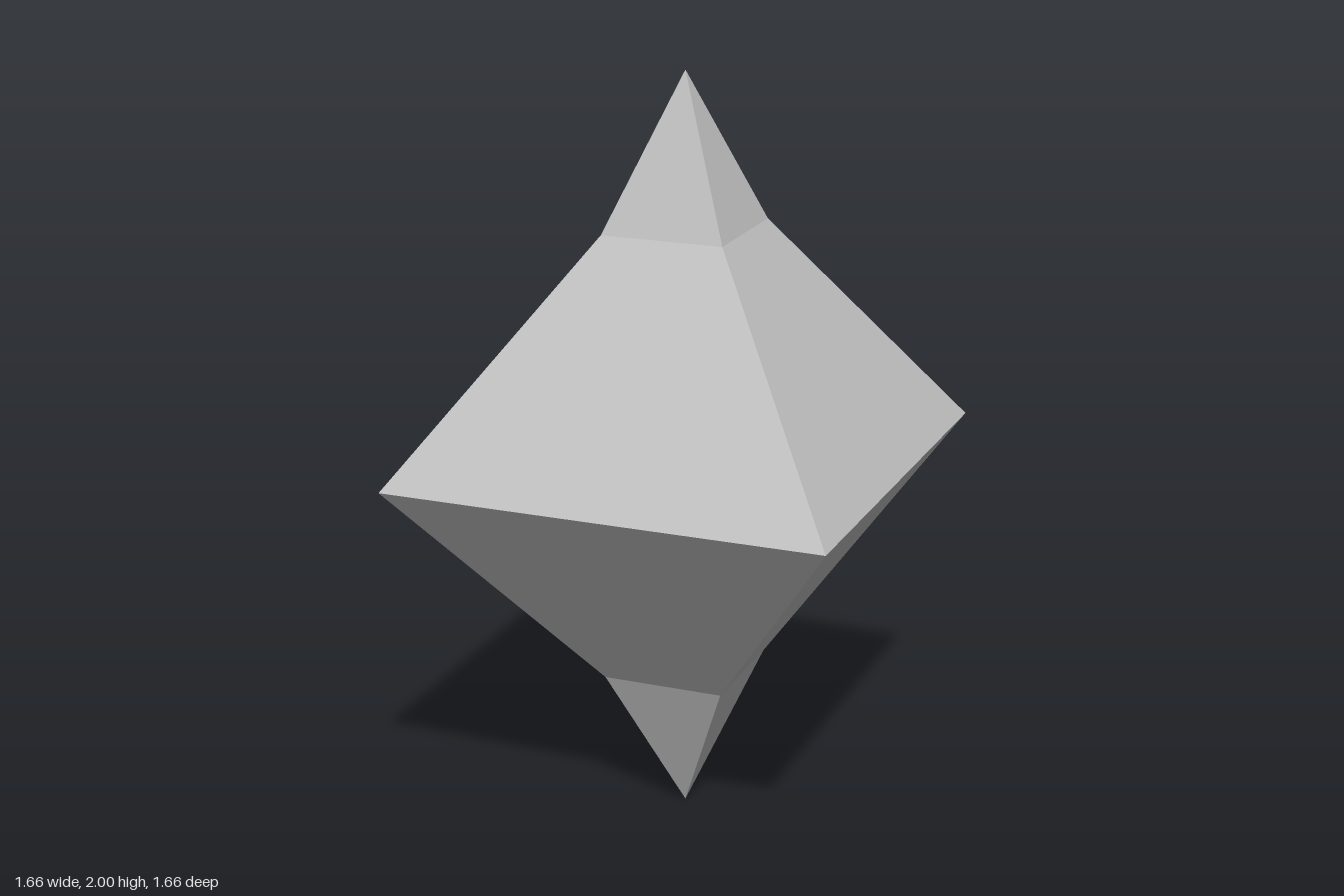
import * as THREE from 'three';

// Four-sided faceted band with corners on the x and z axes
function facetedBand(name, topRadius, bottomRadius, y0, y1, material) {
  const geometry = new THREE.CylinderGeometry(topRadius, bottomRadius, y1 - y0, 4, 1, true).toNonIndexed();
  geometry.computeVertexNormals(); // flat facets
  const mesh = new THREE.Mesh(geometry, material);
  mesh.name = name;
  mesh.position.y = (y0 + y1) / 2;
  return mesh;
}

export function createModel() {
  const group = new THREE.Group();
  group.name = 'crystal';
  const grey = new THREE.MeshStandardMaterial({ color: 0xc0c0c0 });
  grey.name = 'light grey';

  const wide = 0.83, neck = 0.23;
  group.add(
    facetedBand('lowerSpike', neck, 0, 0, 0.4, grey),
    facetedBand('lowerBody', wide, neck, 0.4, 1, grey),
    facetedBand('upperBody', neck, wide, 1, 1.6, grey),
    facetedBand('upperSpike', 0, neck, 1.6, 2, grey),
  );
  return group;
}
